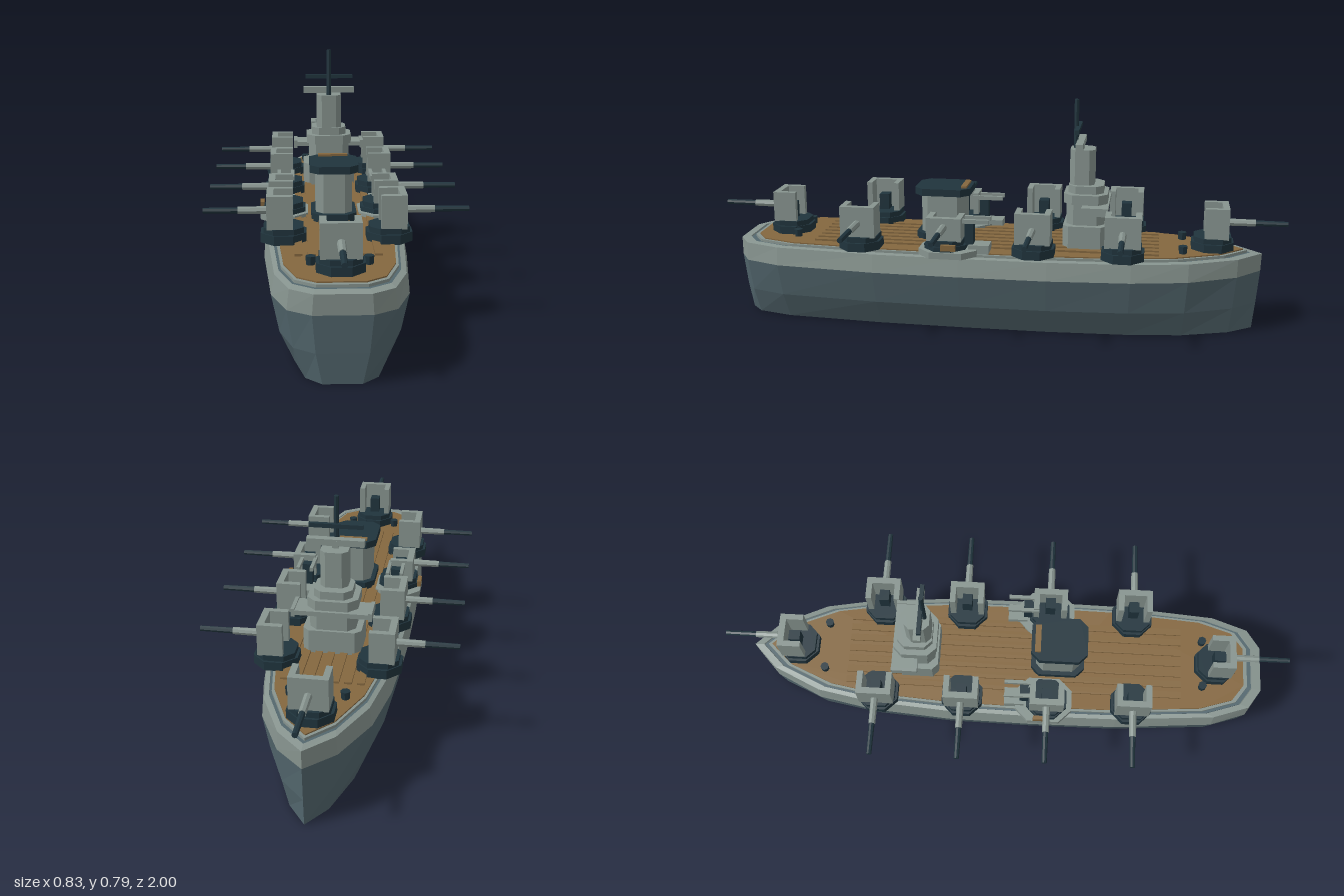
import * as THREE from 'three';

const mat = (name, color, side = THREE.FrontSide) => {
  const m = new THREE.MeshStandardMaterial({ color, side });
  m.name = name;
  return m;
};

export function createModel() {
  const ship = new THREE.Group();
  ship.name = 'battleship';
  const grey = mat('light grey paint', 0x87948f, THREE.DoubleSide);
  const hullBlue = mat('blue grey hull', 0x53676e, THREE.DoubleSide);
  const dark = mat('dark steel', 0x20343d);
  const wood = mat('deck wood', 0x84673f);

  const add = (parent, name, geo, material, x = 0, y = 0, z = 0) => {
    const m = new THREE.Mesh(geo, material);
    m.name = name;
    m.position.set(x, y, z);
    parent.add(m);
    return m;
  };
  const box = (parent, name, w, h, d, material, x, y, z) =>
    add(parent, name, new THREE.BoxGeometry(w, h, d), material, x, y, z);

  // Upright prism over a plan outline of [x, z] points, standing on y = 0
  const prism = (pts, h) => {
    const shape = new THREE.Shape(pts.map(([x, z]) => new THREE.Vector2(x, -z)));
    return new THREE.ExtrudeGeometry(shape, { depth: h, bevelEnabled: false }).rotateX(-Math.PI / 2);
  };
  // Rectangular block with cut corners
  const block = (w, d, c, h) => {
    const a = w / 2, b = d / 2;
    return prism([[a, c - b], [a, b - c], [a - c, b], [c - a, b], [-a, b - c], [-a, c - b], [c - a, -b], [a - c, -b]], h);
  };
  const flatCylinder = (r1, r2, h, n) => {
    const g = new THREE.CylinderGeometry(r1, r2, h, n).toNonIndexed();
    g.computeVertexNormals();
    return g;
  };

  // Hull plan from bow (-z) to stern (+z), half-widths
  const half = [[0, -0.92], [0.09, -0.835], [0.17, -0.67], [0.207, -0.48], [0.228, -0.2], [0.232, 0.1],
    [0.228, 0.4], [0.2, 0.75], [0.155, 0.875], [0.085, 0.92]];
  const plan = [...half, ...half.slice(1).reverse().map(([x, z]) => [-x, z])];
  const ring = (sx, sz) => plan.map(([x, z]) => [x * sx, z * sz]);

  // Faceted wall lofted through scaled rings [sx, sz, y]
  const loft = (levels) => {
    const pos = [];
    for (let k = 0; k < levels.length - 1; k++) {
      const [lo, up] = [levels[k], levels[k + 1]].map(([sx, sz, y]) => ring(sx, sz).map(([x, z]) => [x, y, z]));
      lo.forEach((p, i) => {
        const j = (i + 1) % lo.length;
        pos.push(...p, ...up[i], ...lo[j], ...up[i], ...up[j], ...lo[j]);
      });
    }
    const g = new THREE.BufferGeometry();
    g.setAttribute('position', new THREE.Float32BufferAttribute(pos, 3));
    g.computeVertexNormals();
    return g;
  };
  add(ship, 'lowerHull', loft([[0.67, 0.978, 0], [0.885, 0.988, 0.095], [1, 0.998, 0.21]]), hullBlue);
  add(ship, 'upperHull', loft([[1, 0.998, 0.21], [0.95, 1, 0.272], [0.89, 0.965, 0.276], [0.88, 0.96, 0.262]]), grey);
  add(ship, 'waterway', prism(ring(0.885, 0.962), 0.013), hullBlue, 0, 0.26, 0);
  add(ship, 'deckEdge', prism(ring(0.855, 0.945), 0.022), grey, 0, 0.26, 0);
  add(ship, 'deck', prism(ring(0.82, 0.93), 0.008), wood, 0, 0.278, 0);
  for (let i = -3; i <= 3; i++) box(ship, 'deckPlank', 0.024, 0.007, 1.2, wood, i * 0.04, 0.289, 0.03);

  // Gun with an open-backed shield, facing local +z
  const makeGun = (name, x, z, turn, shieldTop = 0.437) => {
    const gun = new THREE.Group();
    gun.name = name;
    gun.position.set(x, 0, z);
    gun.rotation.y = turn;
    const base = flatCylinder(0.077, 0.077, 0.03, 8).rotateY(Math.PI / 8);
    add(gun, 'gunBase', base, dark, 0, 0.299, 0);
    add(gun, 'gunTurntable', block(0.125, 0.125, 0.03, 0.02), dark, 0, 0.312, 0);
    const h = shieldTop - 0.33, cy = (shieldTop + 0.33) / 2;
    box(gun, 'shieldFront', 0.12, h, 0.022, grey, 0, cy, 0.041);
    for (const s of [-1, 1]) box(gun, 'shieldSide', 0.02, h, 0.06, grey, s * 0.05, cy, 0.001);
    box(gun, 'gunCradle', 0.035, 0.06, 0.04, dark, 0, 0.36, 0.005);
    add(gun, 'gunSleeve', flatCylinder(0.012, 0.013, 0.1, 8).rotateX(Math.PI / 2), grey, 0, 0.379, 0.092);
    add(gun, 'gunBarrel', flatCylinder(0.009, 0.01, 0.11, 8).rotateX(Math.PI / 2), dark, 0, 0.379, 0.195);
    ship.add(gun);
  };
  makeGun('sternGun', 0, 0.75, 0);
  makeGun('bowGun', 0, -0.75, Math.PI);
  for (const s of [-1, 1]) {
    for (const z of [-0.45, -0.15, 0.15, 0.45])
      makeGun('sideGun', s * 0.165, z, s * Math.PI / 2, z === 0.15 ? 0.41 : 0.437);

    // Side platform with a light twin gun ahead of the third side gun
    add(ship, 'sidePlatform', block(0.16, 0.2, 0.045, 0.022), grey, s * 0.165, 0.276, 0.14);
    box(ship, 'platformLocker', 0.014, 0.02, 0.05, wood, s * 0.24, 0.315, 0.13);
    box(ship, 'lightGunBase', 0.06, 0.035, 0.07, grey, s * 0.16, 0.295, 0.035);
    box(ship, 'lightGunMount', 0.035, 0.08, 0.03, dark, s * 0.16, 0.35, 0.07);
    for (const o of [-0.024, 0.024])
      box(ship, 'lightGunBarrel', 0.012, 0.014, 0.11, grey, s * 0.16 + o, 0.395, 0.055);

    // Bollards
    for (const z of [-0.65, 0.705])
      add(ship, 'bollard', flatCylinder(0.015, 0.013, 0.028, 8), dark, s * 0.085, 0.298, z);
  }

  // Funnel
  const funnel = new THREE.Group();
  funnel.name = 'funnel';
  funnel.position.z = 0.185;
  ship.add(funnel);
  add(funnel, 'funnelFoot', block(0.15, 0.19, 0.03, 0.03), dark, 0, 0.283, 0);
  add(funnel, 'funnelBody', block(0.12, 0.155, 0.025, 0.15), grey, 0, 0.305, 0);
  add(funnel, 'funnelCap', block(0.16, 0.195, 0.03, 0.025), dark, 0, 0.45, 0);
  box(funnel, 'funnelTrim', 0.1, 0.008, 0.02, wood, 0, 0.478, -0.075);

  // Bridge tower: stacked blocks [name, width, depth, corner, bottom, height, z]
  const tower = new THREE.Group();
  tower.name = 'bridgeTower';
  ship.add(tower);
  for (const [name, w, d, c, y, h, z] of [
    ['towerFoot', 0.19, 0.15, 0.02, 0.283, 0.083, -0.315],
    ['towerLower', 0.15, 0.13, 0.025, 0.366, 0.075, -0.315],
    ['towerDeck', 0.165, 0.15, 0.03, 0.44, 0.033, -0.315],
    ['towerUpper', 0.125, 0.12, 0.025, 0.473, 0.027, -0.315],
    ['towerTop', 0.09, 0.085, 0.018, 0.5, 0.122, -0.3],
  ]) add(tower, name, block(w, d, c, h), grey, 0, y, z);
  box(tower, 'bridgeWings', 0.26, 0.016, 0.09, grey, 0, 0.429, -0.35);
  for (const s of [-1, 1]) box(tower, 'wingEnd', 0.012, 0.028, 0.09, grey, s * 0.125, 0.428, -0.35);

  // Mast with rangefinder bar and yard
  box(tower, 'rangefinderPost', 0.02, 0.03, 0.02, grey, 0, 0.63, -0.295);
  box(tower, 'rangefinder', 0.188, 0.022, 0.025, grey, 0, 0.64, -0.292);
  add(tower, 'mast', flatCylinder(0.008, 0.008, 0.17, 8), dark, 0, 0.705, -0.275);
  box(tower, 'yard', 0.175, 0.014, 0.014, dark, 0, 0.691, -0.283);

  return ship;
}
